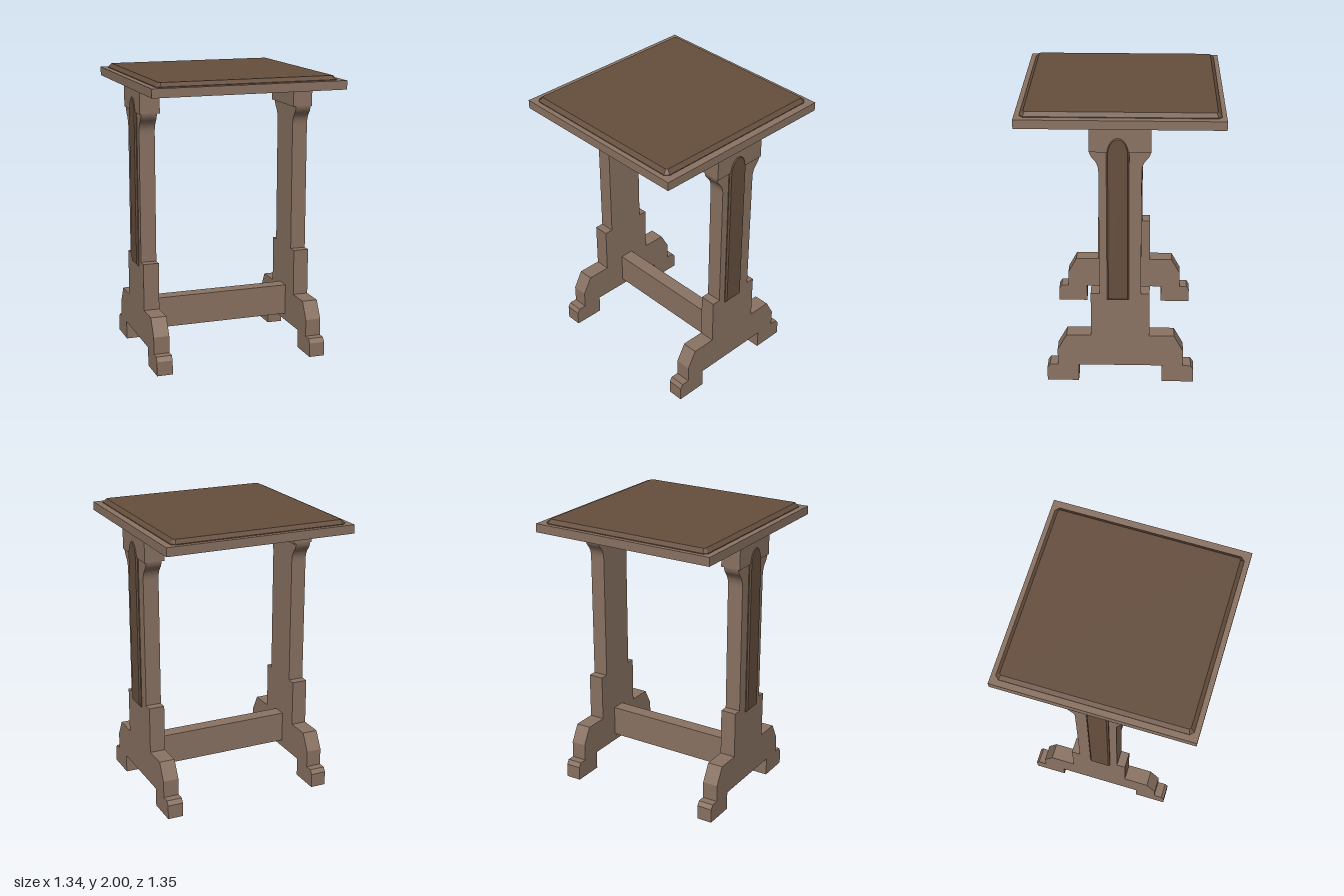
import * as THREE from 'three';

const wood = new THREE.MeshStandardMaterial({ color: 0x8b7363, flatShading: true });
const darkWood = new THREE.MeshStandardMaterial({ color: 0x664f3e, flatShading: true });

function addMesh(parent, name, geometry, material, x = 0, y = 0, z = 0) {
  const mesh = new THREE.Mesh(geometry, material);
  mesh.name = name;
  mesh.position.set(x, y, z);
  parent.add(mesh);
  return mesh;
}

// Symmetric side outline of foot, post and flared head (depth across, height up)
function trestleShape() {
  const s = new THREE.Shape();
  s.moveTo(-0.29, 0.13);
  for (const [a, b] of [[0.29, 0.13], [0.29, 0], [0.51, 0], [0.51, 0.1], [0.49, 0.13], [0.435, 0.13],
    [0.435, 0.25], [0.37, 0.37], [0.2, 0.37], [0.2, 0.7], [0.14, 0.7], [0.14, 1.6]]) s.lineTo(a, b);
  s.quadraticCurveTo(0.14, 1.655, 0.175, 1.69);
  s.quadraticCurveTo(0.198, 1.715, 0.2, 1.75);
  s.lineTo(-0.2, 1.75);
  s.quadraticCurveTo(-0.198, 1.715, -0.175, 1.69);
  s.quadraticCurveTo(-0.14, 1.655, -0.14, 1.6);
  for (const [a, b] of [[-0.14, 0.7], [-0.2, 0.7], [-0.2, 0.37], [-0.37, 0.37], [-0.435, 0.25], [-0.435, 0.13],
    [-0.49, 0.13], [-0.51, 0.1], [-0.51, 0], [-0.29, 0]]) s.lineTo(a, b);
  s.closePath();
  return s;
}

// Tall strip with a rounded head
function archShape(halfWidth, bottom, spring, rise) {
  const s = new THREE.Shape();
  s.moveTo(-halfWidth, bottom);
  s.lineTo(halfWidth, bottom);
  s.lineTo(halfWidth, spring);
  s.absellipse(0, spring, halfWidth, rise, 0, Math.PI, false);
  s.closePath();
  return s;
}

// Rectangle with clipped corners
function clippedRectangle(w, d, c) {
  return new THREE.Shape([[-w + c, -d], [w - c, -d], [w, -d + c], [w, d - c],
    [w - c, d], [-w + c, d], [-w, d - c], [-w, -d + c]].map(([a, b]) => new THREE.Vector2(a, b)));
}

export function createModel() {
  const model = new THREE.Group();
  model.name = 'sideTable';

  // Table top with a bevelled raised panel
  addMesh(model, 'topBoard', new THREE.BoxGeometry(1.34, 0.06, 1.35), wood, 0, 1.94, 0);
  const raised = new THREE.ExtrudeGeometry(clippedRectangle(0.6, 0.617, 0.01), {
    depth: 0.01, bevelEnabled: true, bevelThickness: 0.025, bevelSize: 0.025, bevelSegments: 1,
  });
  raised.rotateX(-Math.PI / 2);
  addMesh(model, 'raisedTopPanel', raised, darkWood, -0.004, 1.965, -0.002);

  // Two trestle ends with outward-facing arched panels
  const base = new THREE.Group();
  base.name = 'base';
  base.position.x = 0.005;
  model.add(base);
  const legGeometry = new THREE.ExtrudeGeometry(trestleShape(), { depth: 0.11, bevelEnabled: false, curveSegments: 6 });
  legGeometry.translate(0, 0, -0.055).rotateY(Math.PI / 2);
  const panelGeometry = new THREE.ExtrudeGeometry(archShape(0.064, 0.67, 1.72, 0.11), {
    depth: 0.015, bevelEnabled: true, bevelThickness: 0.01, bevelSize: 0.01, bevelSegments: 1, curveSegments: 8,
  });
  for (const side of [-1, 1]) {
    const end = new THREE.Group();
    end.name = side > 0 ? 'leftTrestle' : 'rightTrestle';
    base.add(end);
    addMesh(end, 'legAndFoot', legGeometry, wood, side * 0.56);
    addMesh(end, 'headBlock', new THREE.BoxGeometry(0.14, 0.17, 0.4), wood, side * 0.555, 1.825, 0);
    const panel = addMesh(end, 'archedPanel', panelGeometry, darkWood, side * 0.606, 0, 0.015);
    panel.rotation.y = side * Math.PI / 2;
  }

  // Stretcher joining the ends
  addMesh(base, 'stretcher', new THREE.BoxGeometry(1.02, 0.22, 0.1), wood, 0, 0.29, 0);
  return model;
}
